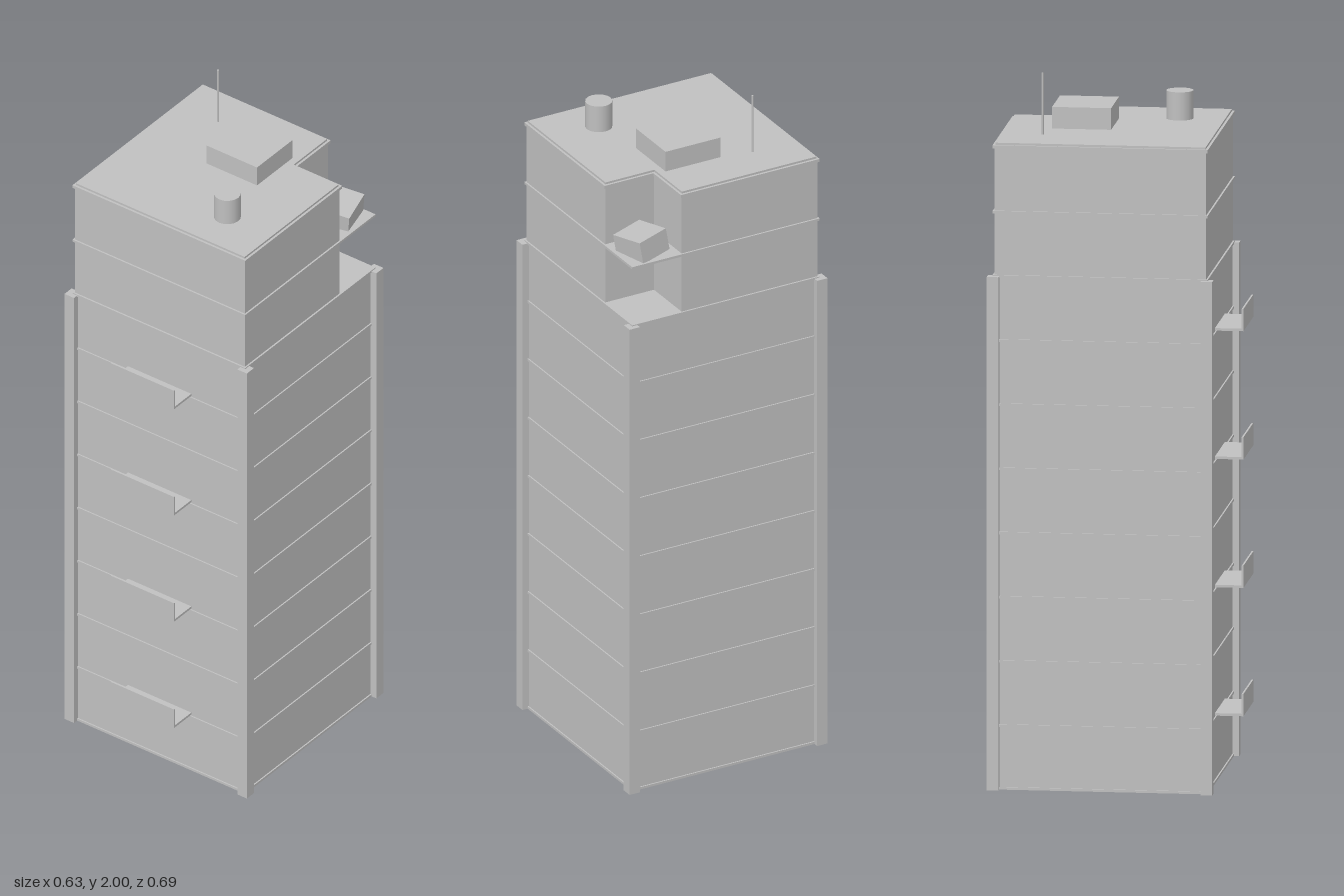
import * as THREE from 'three';

const concrete = new THREE.MeshStandardMaterial({ color: 0xc0c0c0 });
concrete.name = 'concrete grey';

// Tower footprint and storey height
const FLOOR = 0.1812, LOWER = 8, X = 0.3, BACK = -0.333, FRONT = 0.269;
const MID_Z = (BACK + FRONT) / 2, DEPTH = FRONT - BACK;

function add(parent, name, geometry, x = 0, y = 0, z = 0) {
  const mesh = new THREE.Mesh(geometry, concrete);
  mesh.name = name;
  mesh.position.set(x, y, z);
  parent.add(mesh);
  return mesh;
}

// Box placed by its underside
function box(parent, name, w, h, d, x, y, z) {
  return add(parent, name, new THREE.BoxGeometry(w, h, d), x, y + h / 2, z);
}

// Square plan with the back corner on +x cut away, extruded upwards
function notched(inset, height) {
  const x = X - inset, f = FRONT - inset, b = BACK + inset;
  const nx = 0.144 - inset, nz = -0.179 + inset;
  const plan = [[-x, f], [x, f], [x, nz], [nx, nz], [nx, b], [-x, b]];
  const shape = new THREE.Shape(plan.map(([px, pz]) => new THREE.Vector2(px, -pz)));
  return new THREE.ExtrudeGeometry(shape, { depth: height, bevelEnabled: false })
    .rotateX(-Math.PI / 2);
}

export function createModel() {
  const tower = new THREE.Group();
  tower.name = 'tower';
  const top = FLOOR * (LOWER + 2);

  // Walls: full square below, notched for the two upper storeys
  const wallTop = FLOOR * LOWER;
  box(tower, 'lowerWalls', 2 * X - 0.008, wallTop, DEPTH - 0.008, 0, 0, MID_Z);
  add(tower, 'upperWalls', notched(0.005, top - wallTop), 0, wallTop, 0);

  // Floor slabs show as thin ledges; the highest one forms the corner terrace
  for (let i = 0; i <= LOWER + 1; i++) {
    box(tower, 'floorSlab', 2 * X, 0.007, DEPTH, 0, i === 0 ? 0 : i * FLOOR - 0.004, MID_Z);
  }

  // Roof slab with a stepped edge
  add(tower, 'roofSlab', notched(0, 0.009), 0, top - 0.002, 0);
  add(tower, 'roofTop', notched(0.007, 0.006), 0, top + 0.007, 0);

  // Corner posts
  for (const x of [-X, X]) {
    for (const z of [BACK + 0.002, FRONT - 0.002]) {
      box(tower, 'cornerPost', 0.033, wallTop, 0.033, x, 0, z);
    }
  }

  // Balconies on every second storey
  for (let i = 0; i < 4; i++) {
    const balcony = new THREE.Group();
    balcony.name = 'balcony';
    balcony.position.y = 0.187 + i * FLOOR * 2;
    box(balcony, 'balconyFloor', 0.22, 0.007, 0.08, 0, 0, 0.304);
    box(balcony, 'balconyFront', 0.22, 0.063, 0.005, 0, 0, 0.3425);
    tower.add(balcony);
  }

  // Rooftop plant room, tank and aerial
  const roof = top + 0.012;
  box(tower, 'plantRoom', 0.176, 0.062, 0.165, 0.027, roof, -0.114);
  add(tower, 'waterTank', new THREE.CylinderGeometry(0.038, 0.038, 0.081, 16), 0.138, roof + 0.04, 0.136);
  add(tower, 'aerial', new THREE.CylinderGeometry(0.003, 0.003, 2 - roof, 8), -0.155, (2 + roof) / 2, -0.211);

  // Tipped crate on the corner terrace
  const crate = box(tower, 'terraceCrate', 0.102, 0.065, 0.108, 0.229, 1.63, -0.26);
  crate.rotation.set(0.12, 0.24, -0.11, 'YXZ');
  return tower;
}
